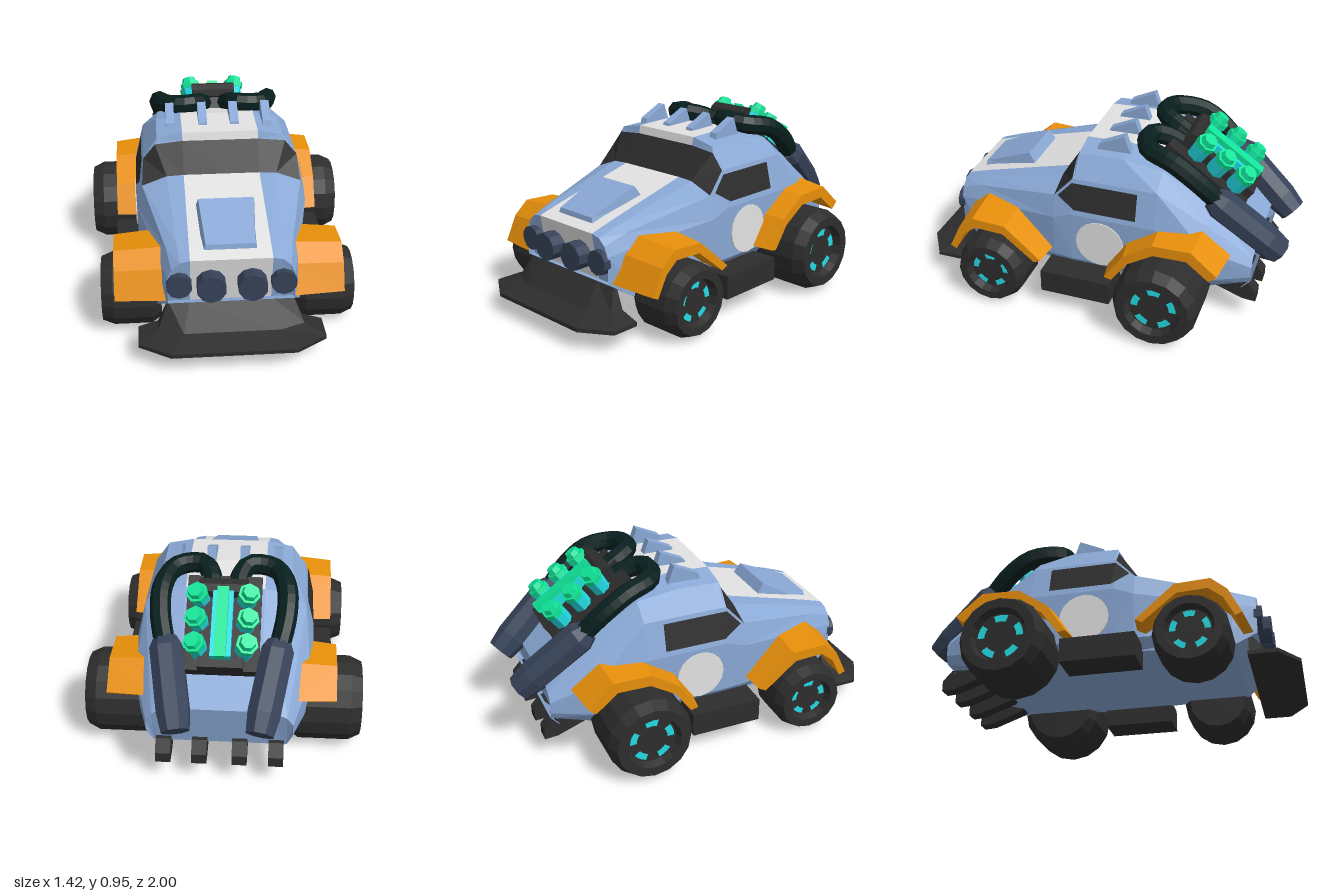
import * as THREE from 'three';

const mat = (name, color) => Object.assign(new THREE.MeshStandardMaterial({ color, flatShading: true }), { name });
const M = {
  blue: mat('paintBlue', 0x8aa9d6), white: mat('stripeWhite', 0xe2e2e2), dark: mat('darkTrim', 0x2d2d2d),
  orange: mat('fenderOrange', 0xef940b), slate: mat('slateMetal', 0x364258), hose: mat('hoseGreen', 0x071f1e),
  green: mat('capGreen', 0x10e498), cyan: mat('cyanGlow', 0x22dbe4),
};

// Flat geometry from triangles given as point triples
function fromTris(tris) {
  const g = new THREE.BufferGeometry();
  g.setAttribute('position', new THREE.Float32BufferAttribute(tris.flat(2), 3));
  g.computeVertexNormals();
  return g;
}

// Closed loft through rings, capped at both ends and turned outward
function loft(rings) {
  const t = [], n = rings[0].length;
  for (let i = 0; i < rings.length - 1; i++) for (let j = 0; j < n; j++) {
    const k = (j + 1) % n, a = rings[i][j], b = rings[i][k], c = rings[i + 1][k], d = rings[i + 1][j];
    t.push([a, b, d], [b, c, d]);
  }
  const last = rings[rings.length - 1];
  for (let j = 1; j < n - 1; j++) {
    t.push([rings[0][0], rings[0][j + 1], rings[0][j]], [last[0], last[j], last[j + 1]]);
  }
  const v = t.map(q => q.map(p => new THREE.Vector3(...p)));
  const volume = v.reduce((s, [a, b, c]) => s + a.dot(b.clone().cross(c)), 0);
  return fromTris(volume < 0 ? t.map(([a, b, c]) => [a, c, b]) : t);
}

// Copy of a geometry reflected to the other side, with winding restored
function mirrored(geo) {
  const g = geo.index ? geo.toNonIndexed() : geo.clone(), p = g.attributes.position;
  for (let i = 0; i < p.count; i += 3) {
    const v = [0, 2, 1].map(k => [-p.getX(i + k), p.getY(i + k), p.getZ(i + k)]);
    v.forEach((q, k) => p.setXYZ(i + k, ...q));
  }
  g.computeVertexNormals();
  return g;
}

function add(parent, name, geo, material) {
  const m = new THREE.Mesh(geo, material);
  m.name = name;
  parent.add(m);
  return m;
}
function addPair(parent, name, geo, material) {
  add(parent, name + 'Left', geo, material);
  add(parent, name + 'Right', mirrored(geo), material);
}

// Body: half sections from nose to tail, [z, then x,y from sill to stripe edge]
function buildBody(root) {
  const sections = [
    [.76, .31, .27, .31, .27, .31, .27, .29, .27, .25, .27, .2, .27],
    [.80, .31, .28, .31, .31, .31, .42, .29, .47, .25, .505, .2, .515],
    [.68, .36, .2, .36, .28, .34, .44, .31, .515, .26, .545, .2, .55],
    [.20, .4, .2, .44, .26, .45, .5, .42, .62, .29, .67, .2, .675],
    [.10, .4, .2, .45, .26, .455, .54, .41, .73, .345, .81, .2, .825],
    [.09, .4, .2, .45, .26, .455, .54, .41, .73, .335, .84, .2, .868],
    [-.15, .4, .2, .45, .26, .455, .54, .41, .73, .335, .845, .2, .875],
    [-.35, .4, .2, .45, .26, .455, .54, .41, .73, .32, .81, .2, .83],
    [-.60, .38, .2, .43, .27, .44, .47, .37, .57, .28, .64, .2, .65],
    [-.84, .34, .26, .36, .3, .36, .36, .33, .4, .27, .43, .2, .435],
    [-.79, .33, .2, .33, .2, .33, .2, .31, .2, .26, .2, .2, .2],
  ].map(([z, ...v]) => {
    const pts = [0, 1, 2, 3, 4, 5].map(k => [v[2 * k], v[2 * k + 1], z]);
    return [[0, v[1], z], ...pts, [0, v[11], z]];
  });
  const tris = { blue: [], white: [], dark: [] };
  const flip = ([x, y, z]) => [-x, y, z];
  for (let i = 0; i < sections.length - 1; i++) for (let j = 0; j < 7; j++) {
    const key = i === 3 && j >= 4 ? 'dark' : j === 6 && i < 7 ? 'white' : 'blue';
    const a = sections[i][j], b = sections[i][j + 1], c = sections[i + 1][j + 1], d = sections[i + 1][j];
    for (const t of [[a, d, b], [b, d, c]]) tris[key].push(t, [t[0], t[2], t[1]].map(flip));
  }
  const names = { blue: 'bodyShell', white: 'centreStripe', dark: 'windshield' };
  for (const key in tris) add(root, names[key], fromTris(tris[key]), M[key]);

  // Side windows and door discs
  const w = [[.454, .57, .08], [.454, .57, -.25], [.42, .71, -.25], [.42, .71, .1], [.433, .63, .175]];
  addPair(root, 'sideWindow', fromTris([[w[0], w[1], w[2]], [w[0], w[2], w[3]], [w[0], w[3], w[4]]]), M.dark);
  addPair(root, 'doorDisc', new THREE.CylinderGeometry(.13, .13, .009, 20).rotateZ(Math.PI / 2).translate(.455, .39, -.06), M.white);
}

// Wheel with chamfered tyre, sunken hub and five glowing slots
function buildWheel(root, name, r, y, z, xIn, xOut) {
  const h = (xOut - xIn) / 2;
  const profile = [[0, -h], [.82 * r, -h], [r, -h + .05], [r, h - .06], [.87 * r, h], [.65 * r, h], [.58 * r, h - .04], [0, h - .04]];
  const place = g => g.rotateZ(-Math.PI / 2).translate((xIn + xOut) / 2, y, z);
  addPair(root, name + 'Tyre', place(new THREE.LatheGeometry(profile.map(p => new THREE.Vector2(...p)), 16)), M.dark);
  for (let k = 0; k < 5; k++) {
    const slot = new THREE.RingGeometry(.37 * r, .53 * r, 3, 1, k * Math.PI * .4 + .3, .64).rotateX(-Math.PI / 2);
    addPair(root, name + 'Slot' + k, place(slot.translate(0, h - .036, 0)), M.cyan);
  }
}

// Fender: thick arch band [z, y] around a wheel, drawn in toward its outer edge
function buildFender(root, name, cy, cz, xIn, xOut, path) {
  const at = (x, sy, sz, [z, y]) => [x, cy + (y - cy) * sy, cz + (z - cz) * sz];
  addPair(root, name, loft(path.map(p =>
    [at(xIn, 1, 1, p), at(xOut, .93, .9, p), at(xOut, .75, .78, p), at(xIn, .8, .83, p)])), M.orange);
}

// Flat side profile [z, y] given a width across x
function slab(profile, x, width) {
  return loft([x - width / 2, x + width / 2].map(px => profile.map(([z, y]) => [px, y, z])));
}

function buildEngine(root) {
  const engine = new THREE.Group();
  engine.name = 'engine';
  engine.position.set(0, .72, -.55);
  engine.rotation.x = -.61;
  root.add(engine);
  add(engine, 'engineBay', new THREE.BoxGeometry(.37, .14, .5).translate(0, -.05, .02), M.dark);
  add(engine, 'engineBlock', new THREE.BoxGeometry(.22, .14, .4).translate(0, 0, -.03), M.dark);
  add(engine, 'airIntake', new THREE.CylinderGeometry(.05, .05, .24, 8).rotateZ(Math.PI / 2).translate(0, .075, .18), M.dark);
  add(engine, 'railBase', new THREE.BoxGeometry(.1, .07, .34).translate(0, .08, -.02), M.cyan);
  add(engine, 'rail', new THREE.BoxGeometry(.056, .04, .36).translate(0, .125, -.02), M.green);
  for (const s of [-1, 1]) for (const z of [-.132, -.002, .125]) {
    const cylinder = new THREE.Group();
    cylinder.name = 'engineCylinder';
    cylinder.position.set(s * .1, 0, z);
    cylinder.rotation.z = -s * .2;
    engine.add(cylinder);
    add(cylinder, 'stem', new THREE.CylinderGeometry(.05, .05, .12, 7).translate(0, .06, 0), M.cyan);
    add(cylinder, 'collar', new THREE.CylinderGeometry(.055, .055, .03, 7).translate(0, .13, 0), M.green);
    add(cylinder, 'cap', new THREE.CylinderGeometry(.036, .042, .03, 7).translate(0, .16, 0), M.green);
  }
}

export function createModel() {
  const root = new THREE.Group();
  root.name = 'buggy';
  buildBody(root);

  buildWheel(root, 'frontWheel', .19, .193, .505, .34, .64);
  buildWheel(root, 'rearWheel', .222, .226, -.42, .34, .71);
  buildFender(root, 'frontFender', .2, .505, .32, .57,
    [[.78, .28], [.71, .42], [.62, .495], [.42, .485], [.2, .3]]);
  buildFender(root, 'rearFender', .23, -.42, .34, .57,
    [[-.09, .28], [-.2, .44], [-.37, .55], [-.59, .555], [-.74, .43]]);

  // Front skid plate with a low lip sweeping up to the nose
  const hexRing = (y, w, front, back, cut) => [[-w, y, back], [-w, y, front - cut], [-w * .66, y, front],
    [w * .66, y, front], [w, y, front - cut], [w, y, back]];
  add(root, 'skidPlate', loft([hexRing(.1, .46, 1, .755, .1), hexRing(.12, .46, 1, .755, .1),
    hexRing(.152, .36, .88, .755, .05), hexRing(.27, .31, .775, .75, .01)]), M.dark);

  // Headlights
  for (const [x, r, z] of [[.1, .073, .81], [.255, .064, .775]]) {
    addPair(root, 'headlight', new THREE.CylinderGeometry(r, r, .1, 10).rotateX(Math.PI / 2).translate(x, .385, z), M.slate);
  }

  // Hood scoop
  add(root, 'hoodScoop', loft([
    [[-.14, .5, .74], [.14, .5, .74], [.155, .58, .4], [-.155, .58, .4]],
    [[-.12, .56, .73], [.12, .56, .73], [.14, .668, .46], [-.14, .668, .46]],
  ]), M.blue);

  // Roof fins, rear skid brackets and side steps
  const fin = [[.01, .85], [0, .885], [-.135, .948], [-.17, .85]];
  for (const x of [.085, .26]) addPair(root, 'roofFin', slab(fin, x, .046), M.blue);
  const bracket = [[-.6, .22], [-.62, .19], [-.8, .125], [-.87, .12], [-.87, .175], [-.82, .23]];
  for (const x of [.1, .28]) addPair(root, 'rearBracket', slab(bracket, x, .075), M.dark);
  addPair(root, 'sideStep', new THREE.BoxGeometry(.19, .125, .38).translate(.478, .168, .04), M.dark);

  buildEngine(root);

  // Hoses looping over the roof into the exhaust cans
  const path = [[.06, .8, -.44], [.07, .87, -.32], [.11, .9, -.24], [.18, .9, -.225], [.26, .89, -.26],
    [.31, .86, -.4], [.31, .78, -.52], [.28, .67, -.63]].map(p => new THREE.Vector3(...p));
  addPair(root, 'hose', new THREE.TubeGeometry(new THREE.CatmullRomCurve3(path), 20, .052, 8), M.hose);
  const from = new THREE.Vector3(.28, .685, -.6), to = new THREE.Vector3(.2, .385, -.95);
  const dir = to.clone().sub(from), len = dir.length();
  const can = new THREE.LatheGeometry([[0, 0], [.06, 0], [.086, .05], [.086, len - .1], [.072, len], [0, len]]
    .map(p => new THREE.Vector2(...p)), 8);
  can.applyQuaternion(new THREE.Quaternion().setFromUnitVectors(new THREE.Vector3(0, 1, 0), dir.normalize()));
  addPair(root, 'exhaustCan', can.translate(from.x, from.y, from.z), M.slate);
  return root;
}
